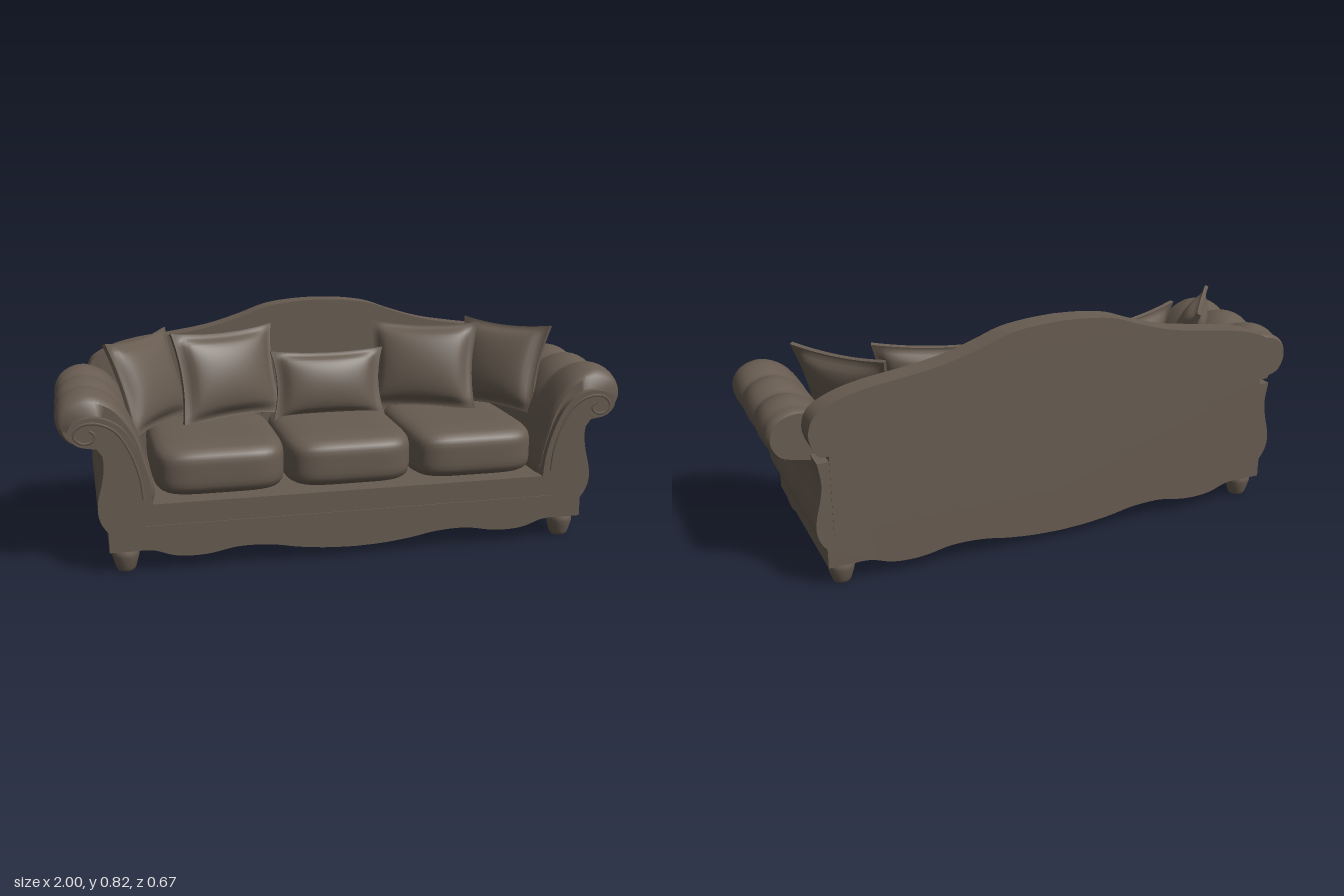
import * as THREE from 'three';
import { mergeVertices, toCreasedNormals } from 'three/addons/utils/BufferGeometryUtils.js';

const fabric = new THREE.MeshStandardMaterial({ color: 0x685c51 });
fabric.name = 'brown fabric';

const vec = ([x, y]) => new THREE.Vector2(x, y);
const spline = (pts, n = 40) => new THREE.SplineCurve(pts.map(vec)).getPoints(n);
// Right half of an outline (x >= 0) completed by its mirror image
const mirrored = (half) => half.concat(half.slice().reverse().map((p) => new THREE.Vector2(-p.x, p.y)));

function add(parent, name, geometry, x = 0, y = 0, z = 0) {
  const mesh = new THREE.Mesh(geometry, fabric);
  mesh.name = name;
  mesh.position.set(x, y, z);
  parent.add(mesh);
  return mesh;
}

function slab(points, z0, z1) {
  const g = new THREE.ExtrudeGeometry(new THREE.Shape(points), { depth: z1 - z0, bevelEnabled: false });
  return toCreasedNormals(g.translate(0, 0, z0), 0.6);
}

// Rounded, slightly domed seat cushion
function cushionGeometry(w, h, d) {
  let g = new THREE.BoxGeometry(2, 2, 2, 18, 12, 18);
  g.deleteAttribute('normal');
  g.deleteAttribute('uv');
  g = mergeVertices(g);
  const p = g.attributes.position;
  for (let i = 0; i < p.count; i++) {
    const v = [p.getX(i), p.getY(i), p.getZ(i)];
    const k = v.reduce((s, c) => s + Math.abs(c) ** 5, 0) ** -0.2;
    p.setXYZ(i, v[0] * k * w / 2, v[1] * k * h / 2, v[2] * k * d / 2);
  }
  g.computeVertexNormals();
  return g;
}

// Throw pillow: puffed middle, flat flange, edges drawn in between the corners
function pillowGeometry(w, h, thick) {
  const g = new THREE.BoxGeometry(2, 2, 2, 28, 28, 1);
  const p = g.attributes.position;
  for (let i = 0; i < p.count; i++) {
    const u = p.getX(i), v = p.getY(i);
    const a = Math.max(0, 1 - (u / 0.87) ** 2), b = Math.max(0, 1 - (v / 0.87) ** 2);
    const t = 0.007 + (thick / 2 - 0.007) * (a * b) ** 0.42;
    p.setXYZ(i, u * w / 2 * (1 - 0.1 * (1 - v * v)), v * h / 2 * (1 - 0.1 * (1 - u * u)), Math.sign(p.getZ(i)) * t);
  }
  g.computeVertexNormals();
  return g;
}

// Padded rolled arm: one cross-section swept along z with three lobes
function armGeometry(side) {
  const pts = [[0.69, 0.24], [0.8, 0.26], [0.83, 0.42], [0.9, 0.442], [0.97, 0.465], [1, 0.53],
    [0.975, 0.597], [0.9, 0.628], [0.82, 0.597], [0.755, 0.51], [0.715, 0.4]];
  const curve = new THREE.CatmullRomCurve3(pts.map(([x, y]) => new THREE.Vector3(x, y, 0)), true);
  const section = curve.getPoints(48).slice(0, 48);
  if (side < 0) section.reverse();
  const n = section.length, rings = 44, pos = [], idx = [];
  for (let i = 0; i <= rings + 2; i++) {
    const cap = i === 0 || i === rings + 2;
    const t = Math.min(1, Math.max(0, (i - 1) / rings));
    const z = -0.25 + 0.56 * t;
    const lobe = 0.87 + 0.13 * Math.abs(Math.sin(Math.PI * (Math.max(z, -0.2) + 0.05) / 0.18));
    const edge = Math.min(1, (0.31 - z) / 0.03, (z + 0.25) / 0.03);
    const s = cap ? 0 : 0.92 + 0.08 * Math.sqrt(Math.max(0, 1 - (1 - edge) ** 2));
    for (const q of section) {
      const y = q.y > 0.44 ? 0.44 + (q.y - 0.44) * lobe : q.y;
      const x = q.x > 0.86 ? 0.86 + (q.x - 0.86) * (0.5 + 0.5 * lobe) : q.x;
      pos.push(side * (0.85 + (x - 0.85) * s), 0.5 + (y - 0.5) * s, z);
    }
  }
  for (let i = 0; i < rings + 2; i++) {
    for (let j = 0; j < n; j++) {
      const a = i * n + j, b = i * n + (j + 1) % n;
      idx.push(a, b, b + n, a, b + n, a + n);
    }
  }
  const g = new THREE.BufferGeometry();
  g.setAttribute('position', new THREE.Float32BufferAttribute(pos, 3));
  g.setIndex(idx);
  return toCreasedNormals(g, 0.9);
}

export function createModel() {
  const sofa = new THREE.Group();
  sofa.name = 'sofa';

  // Frame: scalloped apron, curved sides and a recess for the seat
  const apron = spline([[0, 0.033], [0.1, 0.037], [0.2, 0.048], [0.3, 0.065], [0.41, 0.068],
    [0.52, 0.05], [0.62, 0.053], [0.7, 0.078], [0.76, 0.08]]);
  const flank = spline([[0.845, 0.15], [0.865, 0.18], [0.876, 0.22], [0.872, 0.27], [0.857, 0.33], [0.85, 0.39], [0.86, 0.46]], 24);
  const lower = [...apron, vec([0.845, 0.08]), ...flank];
  add(sofa, 'frame', slab(mirrored([...lower, vec([0.77, 0.46]), vec([0.72, 0.36]), vec([0.695, 0.24])]), -0.333, 0.333));
  add(sofa, 'frontMoulding', new THREE.BoxGeometry(1.46, 0.008, 0.01), 0, 0.162, 0.332);

  // Camel back with rounded shoulders
  const crest = spline([[0.85, 0.48], [0.873, 0.52], [0.88, 0.57], [0.855, 0.625], [0.78, 0.665], [0.68, 0.69],
    [0.55, 0.708], [0.42, 0.73], [0.3, 0.765], [0.2, 0.8], [0.1, 0.815], [0, 0.82]], 70);
  add(sofa, 'backrest', slab(mirrored([vec([0, 0.2]), vec([0.82, 0.2]), vec([0.82, 0.48]), ...crest]), -0.335, -0.25));

  // Arms with scrolled front facings and piping
  const facing = spline([[0.695, 0.24], [0.705, 0.32], [0.735, 0.42], [0.78, 0.5], [0.84, 0.54], [0.9, 0.546],
    [0.95, 0.525], [0.96, 0.49], [0.93, 0.455], [0.87, 0.442]], 50);
  const piping = [[0.725, 0.26], [0.735, 0.34], [0.765, 0.43], [0.81, 0.5], [0.87, 0.528], [0.92, 0.522],
    [0.942, 0.492], [0.92, 0.465], [0.885, 0.467], [0.873, 0.49], [0.89, 0.505]];
  for (const side of [1, -1]) {
    const prefix = side > 0 ? 'left' : 'right';
    add(sofa, prefix + 'Arm', armGeometry(side));
    const outline = [...facing, vec([0.84, 0.4]), vec([0.84, 0.24])].map((p) => new THREE.Vector2(side * p.x, p.y));
    add(sofa, prefix + 'ArmFacing', slab(outline, 0.29, 0.335));
    const path = new THREE.CatmullRomCurve3(piping.map(([x, y]) => new THREE.Vector3(side * x, y, 0.334)));
    add(sofa, prefix + 'ArmPiping', new THREE.TubeGeometry(path, 60, 0.005, 6));
  }

  // Seat
  const seat = cushionGeometry(0.458, 0.185, 0.56);
  for (const i of [-1, 0, 1]) add(sofa, 'seatCushion', seat, i * 0.455, 0.33, 0.04);

  // Throw pillows: name, size, position, turn and lean
  const place = (name, geometry, x, y, z, turn, lean) => {
    add(sofa, name, geometry, x, y, z).rotation.set(-lean, turn, 0, 'YXZ');
  };
  place('centrePillow', pillowGeometry(0.43, 0.26, 0.11), 0, 0.525, -0.09, 0, 0.2);
  const large = pillowGeometry(0.42, 0.34, 0.13);
  const outer = pillowGeometry(0.38, 0.34, 0.12);
  for (const s of [1, -1]) {
    place('backPillow', large, s * 0.375, 0.575, -0.11, -s * 0.38, 0.25);
    place('armPillow', outer, s * 0.665, 0.575, -0.06, -s * 0.92, 0.33);
  }

  // Turned bun feet
  const foot = new THREE.LatheGeometry([[0, 0], [0.028, 0], [0.034, 0.012], [0.041, 0.035], [0.046, 0.055],
    [0.046, 0.068], [0.04, 0.085], [0, 0.085]].map(vec), 20);
  for (const x of [-0.79, 0.79]) for (const z of [-0.28, 0.28]) add(sofa, 'foot', foot, x, 0, z);

  return sofa;
}
